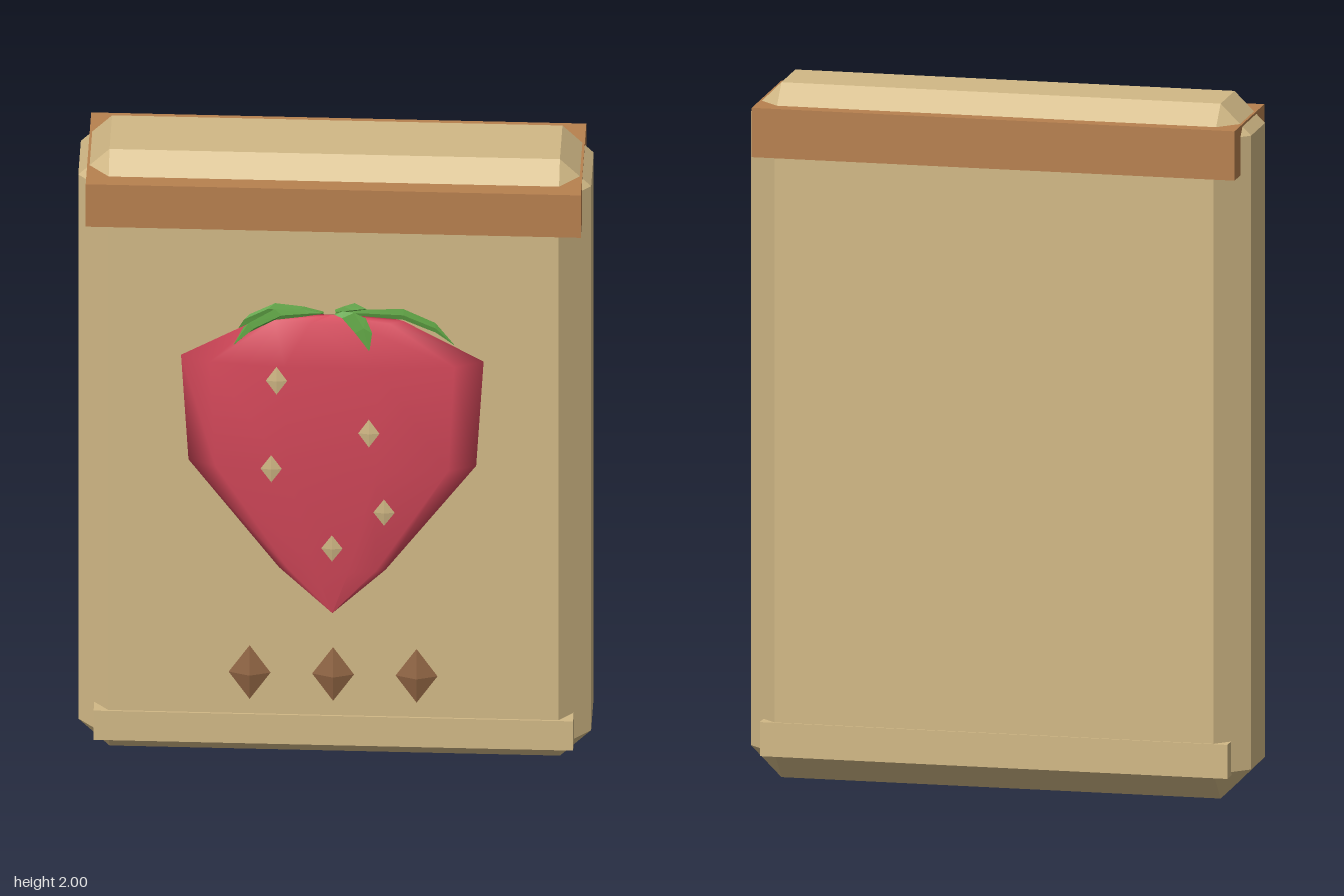
import * as THREE from 'three';
import { ConvexGeometry } from 'three/addons/geometries/ConvexGeometry.js';

const mat = (name, color) => {
  const m = new THREE.MeshStandardMaterial({ color });
  m.name = name;
  return m;
};

// Box with every edge and corner cut by c; half sizes given
function chamferedBox(hx, hy, hz, c) {
  const points = [];
  for (const x of [-1, 1]) for (const y of [-1, 1]) for (const z of [-1, 1]) {
    points.push(
      new THREE.Vector3(x * hx, y * (hy - c), z * (hz - c)),
      new THREE.Vector3(x * (hx - c), y * hy, z * (hz - c)),
      new THREE.Vector3(x * (hx - c), y * (hy - c), z * hz));
  }
  return new ConvexGeometry(points);
}

// Arched leaf pointing along +x, diamond cross-sections
function leafGeometry() {
  // distance out, height, half width, half thickness
  const stations = [
    [0.03, 1.572, 0.002, 0.002], [0.1, 1.574, 0.025, 0.012], [0.2, 1.572, 0.035, 0.018],
    [0.29, 1.53, 0.025, 0.016], [0.342, 1.475, 0.001, 0.001],
  ];
  const pos = [], index = [];
  for (const [r, y, w, h] of stations) {
    pos.push(r, y + h, 0, r, y, w, r, y - h, 0, r, y, -w);
  }
  for (let i = 0; i < stations.length - 1; i++) for (let j = 0; j < 4; j++) {
    const a = i * 4 + j, b = i * 4 + (j + 1) % 4;
    index.push(a, b, b + 4, a, b + 4, a + 4);
  }
  let g = new THREE.BufferGeometry();
  g.setAttribute('position', new THREE.Float32BufferAttribute(pos, 3));
  g.setIndex(index);
  g = g.toNonIndexed();
  g.computeVertexNormals();
  return g;
}

export function createModel() {
  const model = new THREE.Group();
  const tan = mat('tan', 0xd2b986);
  const brown = mat('band brown', 0xb8814f);
  const darkBrown = mat('gem brown', 0x8f6443);
  const red = mat('berry red', 0xd4485a);
  const green = mat('leaf green', 0x5fa344);

  const add = (name, geometry, material, x, y, z, parent = model) => {
    const m = new THREE.Mesh(geometry, material);
    m.name = name;
    m.position.set(x, y, z);
    parent.add(m);
    return m;
  };

  // Slab body with a wrapped band above and a rim below
  const cz = -0.06;
  add('body', chamferedBox(0.722, 1, 0.175, 0.088), tan, 0, 1, cz);
  add('topBand', new THREE.BoxGeometry(1.394, 0.142, 0.372), brown, 0, 1.873, cz);
  add('bottomRim', new THREE.BoxGeometry(1.35, 0.098, 0.36), tan, 0, 0.127, cz);

  // Flattened ten-sided berry
  const berry = new THREE.Group();
  berry.name = 'strawberry';
  berry.position.z = 0.188;
  model.add(berry);
  const flat = 0.134;
  const profile = [[0, 0.565], [0.15, 0.715], [0.405, 1.07], [0.426, 1.42], [0.2, 1.55], [0, 1.565]]
    .map(([r, y]) => new THREE.Vector2(r, y));
  const berryGeo = new THREE.LatheGeometry(profile, 10, Math.PI / 2);
  berryGeo.scale(1, 1, flat);
  add('fruit', berryGeo, red, 0, 0, 0, berry);

  // Five leaves around the crown, flattened with the fruit
  const crown = new THREE.Group();
  crown.name = 'leafCrown';
  crown.scale.z = flat;
  berry.add(crown);
  const leaf = leafGeometry();
  for (let i = 0; i < 5; i++) {
    add('leaf', leaf, green, 0, 0, 0, crown).rotation.y = i * Math.PI * 2 / 5;
  }

  // Diamond seeds on the front of the fruit: x, y, z, tilt
  const seed = new THREE.OctahedronGeometry(1).scale(0.03, 0.047, 0.0045);
  const seeds = [
    [-0.155, 1.375, 0.054, 0.01], [0.105, 1.205, 0.054, 0.01], [-0.17, 1.077, 0.05, 0.05],
    [0.147, 0.93, 0.037, 0.09], [0, 0.8, 0.028, 0.09],
  ];
  for (const [x, y, z, tilt] of seeds) {
    add('seed', seed, tan, x, y, z, berry).rotation.x = tilt;
  }

  // Row of three gems under the fruit
  const gem = new THREE.OctahedronGeometry(1).scale(0.059, 0.09, 0.019);
  for (const x of [-0.235, 0, 0.235]) add('gem', gem, darkBrown, x, 0.328, 0.137);

  return model;
}
